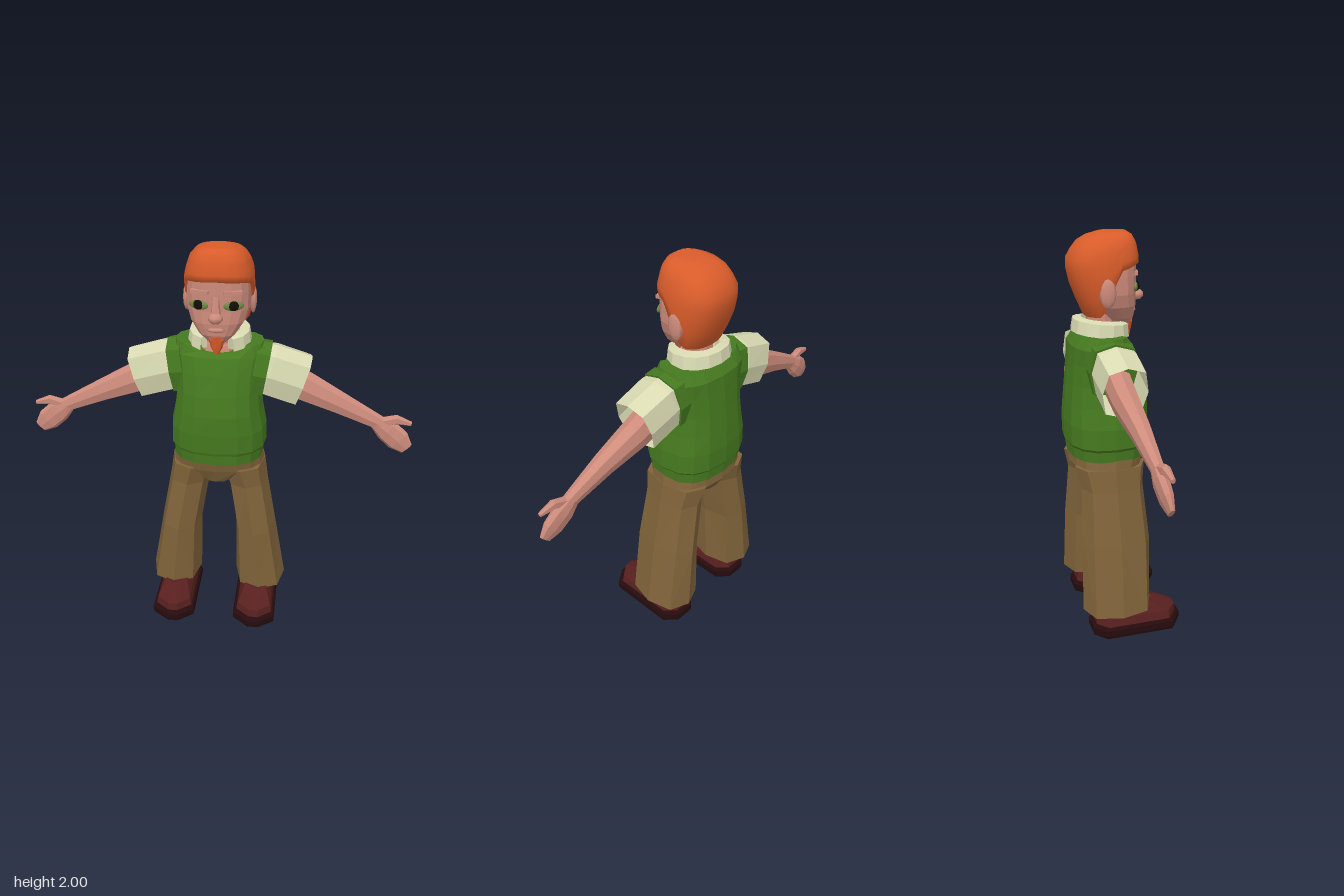
import * as THREE from 'three';
import { mergeVertices } from 'three/addons/utils/BufferGeometryUtils.js';

const paint = (name, color, side = THREE.FrontSide) => {
  const m = new THREE.MeshStandardMaterial({ color, side });
  m.name = name;
  return m;
};

// Skin a list of equal-length rings; flat facets, optional end caps
function loft(rings, { closed = true, capStart = true, capEnd = true } = {}) {
  const pos = [];
  const tri = (...pts) => pts.forEach((p) => pos.push(p.x, p.y, p.z));
  const n = rings[0].length;
  for (let j = 0; j < rings.length - 1; j++) {
    for (let i = 0; i < (closed ? n : n - 1); i++) {
      const k = (i + 1) % n;
      const [a, b] = [rings[j], rings[j + 1]];
      tri(a[i], b[i], a[k]);
      tri(b[i], b[k], a[k]);
    }
  }
  const cap = (ring, flip) => {
    const c = ring.reduce((s, p) => s.add(p), new THREE.Vector3()).divideScalar(n);
    for (let i = 0; i < n; i++) {
      const [p, q] = [ring[i], ring[(i + 1) % n]];
      flip ? tri(c, q, p) : tri(c, p, q);
    }
  };
  if (closed && capStart) cap(rings[0], false);
  if (closed && capEnd) cap(rings[rings.length - 1], true);
  const g = new THREE.BufferGeometry();
  g.setAttribute('position', new THREE.Float32BufferAttribute(pos, 3));
  g.computeVertexNormals();
  return g;
}

const bend = (v, p) => Math.sign(v) * Math.abs(v) ** (2 / p);

// Horizontal rounded ring from [y, half width, front z, back z, centre x]
function ring([y, hw, zf, zb, cx = 0], n, p, from = 0, span = Math.PI * 2) {
  const count = span < 6 ? n + 1 : n;
  return Array.from({ length: count }, (_, i) => {
    const a = from + (i / n) * span;
    return new THREE.Vector3(cx + hw * bend(Math.cos(a), p), y,
      (zf + zb) / 2 + ((zf - zb) / 2) * bend(Math.sin(a), p));
  });
}
const stack = (rows, n = 12, p = 2.4, opts) => loft(rows.map((r) => ring(r, n, p)), opts);

// Limb along a path of [x, y, z, half height, half depth]
function limb(rows, n = 8, p = 2.3, opts) {
  return loft(rows.map(([x, y, z, hu, hv], j) => {
    const a = rows[Math.max(j - 1, 0)], b = rows[Math.min(j + 1, rows.length - 1)];
    const d = new THREE.Vector3(b[0] - a[0], b[1] - a[1], 0).normalize();
    return Array.from({ length: n }, (_, i) => {
      const t = (i / n) * Math.PI * 2;
      const u = hu * bend(Math.cos(t), p);
      return new THREE.Vector3(x + d.y * u, y - d.x * u, z + hv * bend(Math.sin(t), p));
    });
  }), opts);
}

// Mirror a geometry across x = 0 with corrected corner order
function mirrored(geo) {
  const g = geo.index ? geo.toNonIndexed() : geo.clone();
  for (const key of ['position', 'normal']) {
    const a = g.attributes[key];
    for (let i = 0; i < a.count; i += 3) {
      const v = [0, 2, 1].map((k) => [-a.getX(i + k), a.getY(i + k), a.getZ(i + k)]);
      v.forEach((c, k) => a.setXYZ(i + k, ...c));
    }
  }
  return g;
}

// Linear lookup in a table whose first column rises
function lookup(table, x, col = 1) {
  let i = 0;
  while (i < table.length - 2 && x > table[i + 1][0]) i++;
  const [a, b] = [table[i], table[i + 1]];
  const t = THREE.MathUtils.clamp((x - a[0]) / (b[0] - a[0]), 0, 1);
  return a[col] + (b[col] - a[col]) * t;
}

// Smooth cap of hair with a hairline that varies around the head
function hairCap() {
  const shape = [[1.6, .132, .08, -.155], [1.7, .158, .09, -.2], [1.8, .166, .095, -.238],
    [1.88, .16, .098, -.24], [1.95, .135, .085, -.2], [1.985, .1, .065, -.14], [2, .055, .04, -.08]];
  const line = [[0, 1.865], [45, 1.855], [80, 1.83], [95, 1.7], [110, 1.62], [180, 1.61]];
  const n = 24, steps = 9;
  const row = (t, shrink = 1) => Array.from({ length: n }, (_, i) => {
    const deg = Math.abs(((i * 360) / n - 90 + 540) % 360 - 180);
    const y = 2 - (2 - lookup(line, deg)) * t * t;
    const [hw, zf, zb] = [1, 2, 3].map((c) => lookup(shape, y, c));
    const p = ring([y, hw * shrink, zf, zb], n, 2.5)[i];
    const mid = (zf + zb) / 2;
    p.z = mid + (p.z - mid) * shrink;
    return p;
  });
  const rings = [row(1, 0.85)];
  for (let k = steps; k >= 0; k--) rings.push(row(k / steps));
  const g = loft(rings, { capStart: false });
  g.deleteAttribute('normal');
  const smooth = mergeVertices(g, 1e-4);
  smooth.computeVertexNormals();
  return smooth;
}

export function createModel() {
  const model = new THREE.Group();
  const two = THREE.DoubleSide;
  const skin = paint('skin', 0xcd8b7b), hair = paint('orange hair', 0xd95c2a);
  const green = paint('green knit', 0x45791f), cream = paint('cream cloth', 0xd9dab2, two);
  const brown = paint('brown cloth', 0x80633a, two), leather = paint('oxblood leather', 0x58201f);
  const rubber = paint('dark sole', 0x260b0d), iris = paint('eye green', 0x6f8a45);
  const black = paint('pupil black', 0x120d09);

  const add = (name, geo, mat) => {
    const m = new THREE.Mesh(geo, mat);
    m.name = name;
    model.add(m);
  };
  const pair = (name, geo, mat) => {
    add(name + 'Left', geo, mat);
    add(name + 'Right', mirrored(geo), mat);
  };
  const blob = (r, s, at, turn = 0, seg = [12, 8]) => new THREE.SphereGeometry(r, ...seg)
    .scale(...s).rotateY(turn).translate(...at);

  // Vest with a dipped neckline
  const vest = [[.93, .228, .125, -.255], [.985, .232, .13, -.26], [1, .243, .135, -.27],
    [1.1, .24, .14, -.272], [1.2, .22, .138, -.265], [1.3, .21, .12, -.255], [1.4, .215, .09, -.245],
    [1.48, .23, .06, -.238], [1.53, .215, .035, -.2]].map((r) => ring(r, 16, 2.5));
  vest[vest.length - 1].forEach((p) => { if (p.z > -.05 && Math.abs(p.x) < .12) p.y = 1.5; });
  add('vest', loft(vest), green);
  pair('armhole', limb([[.17, 1.395, -.077, .135, .12], [.235, 1.385, -.077, .138, .118]], 8, 3), green);

  // Neck, upper chest and open collar
  add('upperChest', stack([[1.48, .1, .035, -.17], [1.53, .09, .025, -.165]]), skin);
  add('neck', stack([[1.46, .072, 0, -.155], [1.68, .068, 0, -.15]], 10, 2), skin);
  const gap = Math.PI / 2 + .5;
  const collar = [[1.565, .155, .055, -.225], [1.6, .145, .05, -.215], [1.61, .1, .03, -.175],
    [1.52, .095, .03, -.17]];
  collar[0][0] = 1.54;
  const collarRings = collar.map((r) => ring(r, 12, 2.2, gap, Math.PI * 2 - 1));
  collarRings.flat().forEach((p) => { p.y -= .015 + .1 * (p.z + .08); });
  add('collar', loft(collarRings, { closed: false }), cream);

  // Sleeves, arms and hands
  pair('sleeve', limb([[.17, 1.4, -.075, .12, .1], [.25, 1.385, -.075, .128, .112],
    [.412, 1.335, -.075, .13, .106]], 8, 3, { capEnd: false }), cream);
  pair('arm', limb([[.3, 1.345, -.08, .085, .065], [.42, 1.298, -.08, .08, .06],
    [.6, 1.222, -.065, .058, .046], [.81, 1.125, -.055, .037, .027]]), skin);
  pair('hand', limb([[.785, 1.132, -.055, .038, .027], [.84, 1.092, -.055, .06, .031],
    [.9, 1.04, -.05, .06, .025], [.945, .998, -.045, .034, .012]]), skin);
  pair('thumb', limb([[.8, 1.13, -.053, .03, .022], [.88, 1.157, -.048, .027, .02],
    [.952, 1.14, -.043, .012, .01]], 6, 2), skin);

  // Trousers with open hems
  add('trouserSeat', stack([[.765, .045, .02, -.13], [.8, .09, .075, -.2], [.88, .238, .108, -.25],
    [.94, .228, .122, -.245]], 16), brown);
  pair('trouserLeg', stack([[.14, .135, .112, -.242, .235], [.5, .107, .115, -.235, .2],
    [.78, .104, .092, -.222, .152], [.89, .115, .108, -.248, .125]], 8, 2.5, { capStart: false }), brown);
  pair('ankle', stack([[.1, .048, 0, -.13, .22], [.4, .06, .02, -.14, .21]], 8, 2), skin);

  // Shoes: one outline resized at each height, rows of [y, width, front z, back z]
  const outline = [[.112, .215], [.03, .272], [-.03, .272], [-.112, .21], [-.112, -.14],
    [-.05, -.2], [.05, -.2], [.112, -.14]];
  const shoe = (rows) => loft(rows.map(([y, s, zf, zb]) => outline.map(([x, z]) =>
    new THREE.Vector3(.22 + x * s, y, zb + ((z + .2) / .472) * (zf - zb)))));
  pair('sole', shoe([[0, .96, .265, -.195], [.015, 1, .273, -.2], [.045, 1, .273, -.2],
    [.057, .94, .26, -.19]]), rubber);
  pair('shoe', shoe([[.05, .86, .25, -.18], [.1, .78, .245, -.175], [.132, .62, .18, -.17],
    [.15, .5, .13, -.16]]), leather);

  // Head
  add('head', stack([[1.56, .045, .055, -.03], [1.6, .088, .075, -.06], [1.66, .13, .083, -.13],
    [1.72, .149, .08, -.16], [1.8, .15, .083, -.18], [1.86, .146, .083, -.18],
    [1.93, .11, .05, -.15]], 16, 2.5), skin);
  add('hair', hairCap(), hair);
  add('goatee', stack([[1.505, .012, .066, .035], [1.54, .028, .073, .03], [1.575, .037, .078, .03],
    [1.598, .02, .082, .04]], 8, 2), hair);
  pair('ear', blob(1, [.018, .07, .04], [.156, 1.735, -.085], .15, [8, 6]), skin);
  add('noseBridge', stack([[1.695, .024, .112, .05], [1.79, .016, .092, .05]], 8, 2.5), skin);
  add('noseTip', blob(1, [.036, .026, .035], [0, 1.698, .1], 0, [8, 5]), skin);
  add('lips', blob(1, [.045, .012, .012], [0, 1.632, .078], 0, [8, 4]), skin);
  pair('brow', new THREE.BoxGeometry(.085, .016, .018).rotateY(.25).translate(.075, 1.812, .072), skin);
  pair('eye', blob(1, [.048, .023, .012], [.08, 1.75, .07], .3), iris);
  pair('pupil', blob(1, [.025, .023, .012], [.081, 1.751, .076], .3), black);

  return model;
}
